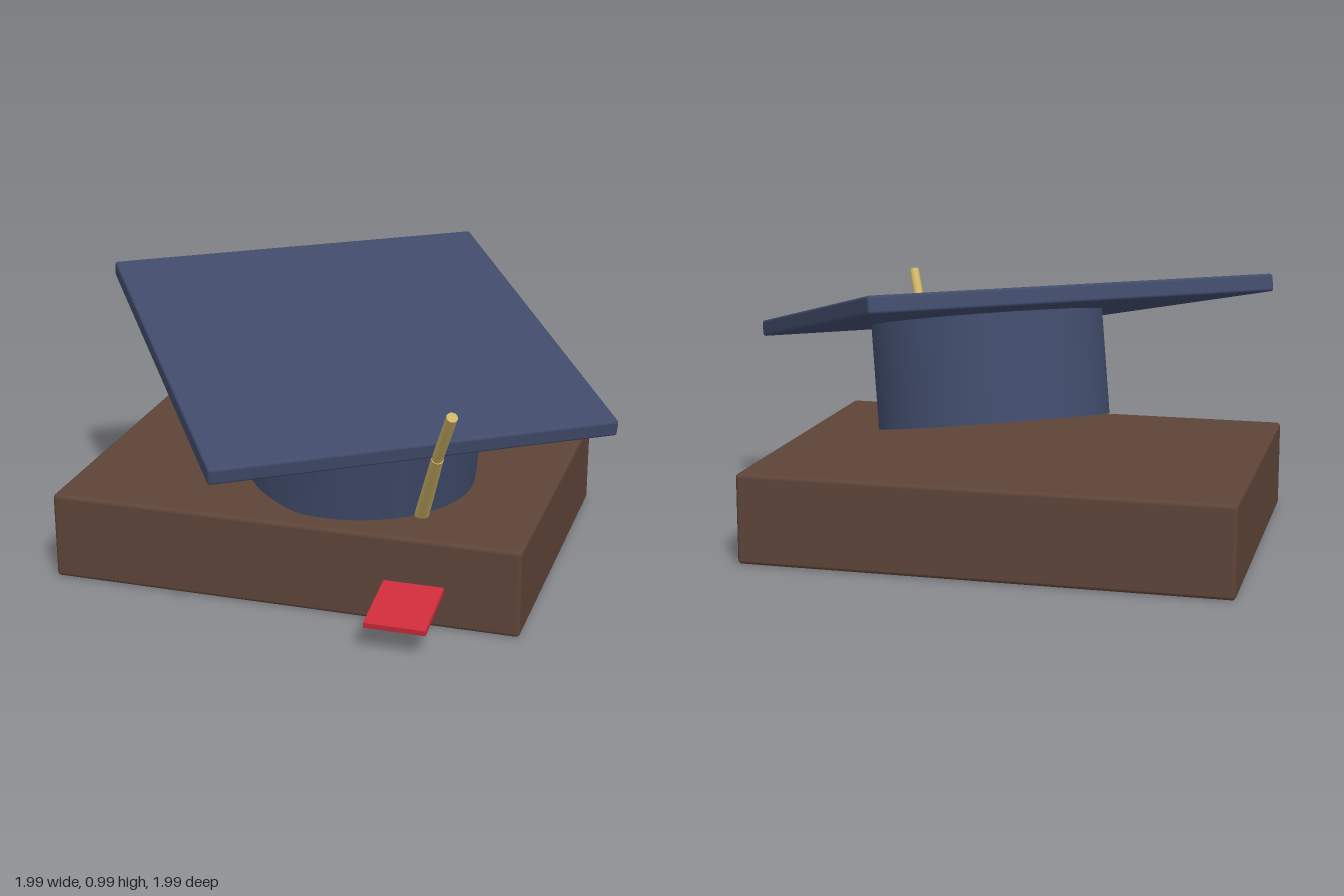
import * as THREE from 'three';
import { RoundedBoxGeometry } from 'three/addons/geometries/RoundedBoxGeometry.js';

const material = (name, color) => {
  const m = new THREE.MeshStandardMaterial({ color });
  m.name = name;
  return m;
};

export function createModel() {
  const navy = material('navy cloth', 0x404b6a);
  const brown = material('brown leather', 0x5d4438);
  const gold = material('gold thread', 0xcdb466);
  const red = material('red ribbon', 0xce2c3b);

  const model = new THREE.Group();
  model.name = 'graduationCapOnBook';
  const add = (parent, name, geometry, mat, x = 0, y = 0, z = 0) => {
    const mesh = new THREE.Mesh(geometry, mat);
    mesh.name = name;
    mesh.position.set(x, y, z);
    parent.add(mesh);
    return mesh;
  };

  // Closed book lying flat
  add(model, 'book', new RoundedBoxGeometry(1.715, 0.32, 1.28, 3, 0.015), brown, -0.11, 0.16, -0.11);

  // Ribbon sloping out of the front of the book
  const bookmark = add(model, 'bookmark', new THREE.BoxGeometry(0.215, 0.02, 0.5), red, 0.375, 0.144, 0.53);
  bookmark.rotation.x = 0.175;

  // Cap, turned and tipped forward; its origin is the centre of the board top
  const cap = new THREE.Group();
  cap.name = 'cap';
  cap.position.set(0, 0.84, 0);
  cap.rotation.set(0.207, 0.607, 0, 'YXZ');
  model.add(cap);
  add(cap, 'board', new RoundedBoxGeometry(1.437, 0.06, 1.46, 3, 0.01), navy, 0, -0.03, 0);
  add(cap, 'crown', new THREE.CylinderGeometry(0.426, 0.426, 0.4, 64), navy, 0.014, -0.244, 0.132);

  // Rod between two points
  const rod = (name, a, b, rA, rB) => {
    const from = new THREE.Vector3(...a), to = new THREE.Vector3(...b);
    const dir = to.clone().sub(from);
    const mesh = add(model, name, new THREE.CylinderGeometry(rB, rA, dir.length(), 16), gold);
    mesh.position.copy(from).add(to).multiplyScalar(0.5);
    mesh.quaternion.setFromUnitVectors(new THREE.Vector3(0, 1, 0), dir.normalize());
  };

  // Tassel in front of the crown, with its cord standing past the board edge
  rod('tassel', [0.335, 0.29, 0.3], [0.455, 0.63, 0.543], 0.026, 0.021);
  rod('tasselCord', [0.45, 0.62, 0.535], [0.535, 0.835, 0.68], 0.019, 0.019);
  return model;
}
